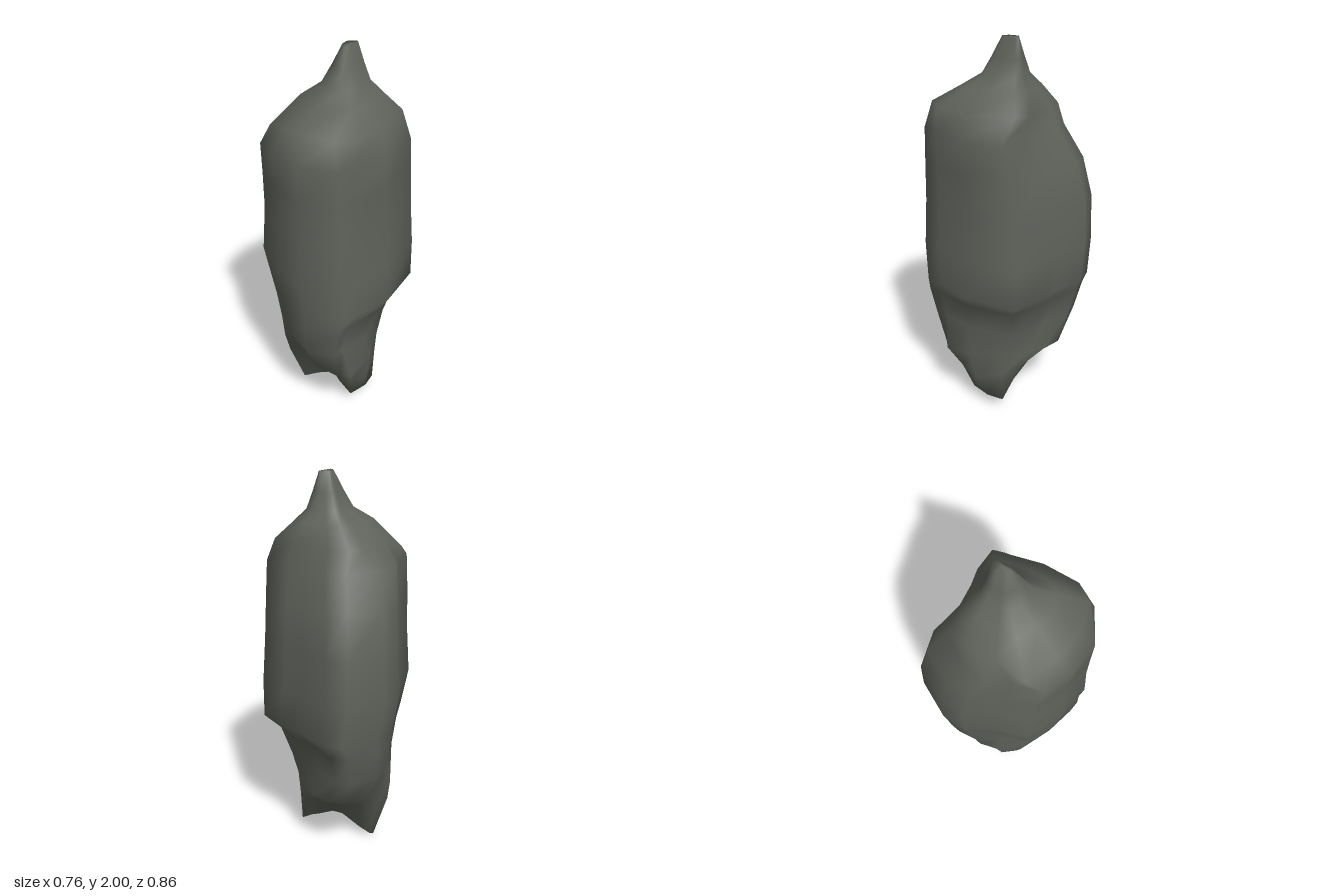
import * as THREE from 'three';

// Cross-sections run counterclockwise from the back as seen from above.
// Plan outline of the widest part: x, z
const belly = [
  [0, -0.43], [-0.19, -0.36], [-0.278, -0.265], [-0.31, -0.11], [-0.385, 0.05], [-0.315, 0.22], [-0.19, 0.38],
  [0.01, 0.43], [0.07, 0.365], [0.24, 0.235], [0.38, -0.01], [0.28, -0.15], [0.2, -0.23], [0.1, -0.38],
];
// Uneven rim of the shoulders: x, y, z
const rim = [
  [-0.03, 1.67, -0.235], [-0.1, 1.67, -0.2], [-0.15, 1.68, -0.15], [-0.22, 1.68, -0.08], [-0.32, 1.63, 0.03],
  [-0.25, 1.67, 0.18], [-0.19, 1.69, 0.27], [-0.03, 1.69, 0.365], [0.07, 1.685, 0.34], [0.19, 1.68, 0.21],
  [0.295, 1.69, 0], [0.22, 1.68, -0.08], [0.15, 1.68, -0.12], [0.06, 1.67, -0.19],
];
// Small slanting edge at the top: x, z
const tip = [
  [0.04, -0.04], [0.03, -0.03], [0.025, -0.02], [0.02, -0.01], [0.015, 0], [0.015, 0.015], [0.018, 0.03],
  [0.025, 0.035], [0.035, 0.03], [0.055, 0.01], [0.085, -0.02], [0.085, -0.035], [0.08, -0.04], [0.06, -0.04],
];
// Hem of the body, overhanging at the front: x, y, z
const hem = [
  [0, 0.37, -0.28], [-0.13, 0.36, -0.24], [-0.22, 0.36, -0.19], [-0.28, 0.36, -0.08], [-0.298, 0.37, 0.04],
  [-0.21, 0.47, 0.21], [-0.12, 0.38, 0.3], [0, 0.34, 0.345], [0.06, 0.34, 0.34], [0.16, 0.36, 0.22],
  [0.208, 0.38, 0.04], [0.18, 0.37, -0.08], [0.14, 0.37, -0.18], [0.08, 0.37, -0.26],
];
// Recess beneath the hem: x, y, z
const recess = [
  [0, 0.3, -0.17], [-0.1, 0.28, -0.17], [-0.2, 0.25, -0.14], [-0.27, 0.25, -0.07], [-0.275, 0.25, 0.02],
  [-0.2, 0.36, 0.12], [-0.1, 0.3, 0.16], [-0.01, 0.24, 0.22], [0.06, 0.22, 0.26], [0.15, 0.2, 0.19],
  [0.198, 0.25, 0.05], [0.16, 0.27, -0.05], [0.1, 0.3, -0.12], [0.05, 0.3, -0.16],
];
// Feet: a pointed one and a blunt one with a notch between: x, y, z
const foot = [
  [-0.03, 0.12, 0], [-0.12, 0.06, -0.05], [-0.18, 0.01, -0.05], [-0.2, 0, -0.04], [-0.2, 0.01, -0.02],
  [-0.13, 0.05, 0], [-0.03, 0.125, 0.07], [0, 0.115, 0.13], [0.065, 0.08, 0.2], [0.15, 0.08, 0.13],
  [0.19, 0.075, 0.05], [0.16, 0.09, 0.05], [0.1, 0.1, 0.04], [0.02, 0.12, 0.03],
];

const { lerp, inverseLerp } = THREE.MathUtils;

// Belly outline fitted to an x range and a z range
const fitted = ([y, x0, x1, z0, z1]) => belly.map(([x, z]) => [
  lerp(x0, x1, inverseLerp(-0.385, 0.38, x)), y, lerp(z0, z1, inverseLerp(-0.43, 0.43, z)),
]);

// Rim drawn in towards the tip
const narrowed = ([y, t]) => rim.map(([x, , z], j) => [lerp(x, tip[j][0], t), y, lerp(z, tip[j][1], t)]);

// Join the sections into one closed skin
function rockGeometry() {
  const rings = [
    foot, recess, hem,
    ...[
      [0.52, -0.308, 0.24, -0.355, 0.39],
      [0.68, -0.33, 0.295, -0.392, 0.42],
      [0.76, -0.347, 0.38, -0.41, 0.424],
      [0.96, -0.385, 0.378, -0.425, 0.43],
      [1.2, -0.367, 0.36, -0.415, 0.415],
      [1.4, -0.365, 0.348, -0.365, 0.41],
      [1.57, -0.363, 0.336, -0.265, 0.405],
    ].map(fitted),
    rim,
    ...[[1.77, 0.42], [1.83, 0.72], [1.91, 0.86], [2, 1]].map(narrowed),
  ];
  const n = belly.length, last = (rings.length - 1) * n, under = rings.length * n;
  const pos = rings.flat(2), index = [];
  for (let a = 0; a < last; a += n) {
    for (let j = 0; j < n; j++) {
      const k = (j + 1) % n, b = a + n;
      index.push(a + j, a + k, b + k, a + j, b + k, b + j);
    }
  }
  // Underside and flat tip
  pos.push(0, 0.13, 0.05, 0.05, 2, 0);
  for (let j = 0; j < n; j++) {
    const k = (j + 1) % n;
    index.push(under, k, j, under + 1, last + j, last + k);
  }
  const g = new THREE.BufferGeometry();
  g.setAttribute('position', new THREE.Float32BufferAttribute(pos, 3));
  g.setIndex(index);
  g.computeVertexNormals();
  return g;
}

export function createModel() {
  const group = new THREE.Group();
  group.name = 'standingRock';
  const stone = new THREE.MeshStandardMaterial({ color: 0x60645c });
  stone.name = 'dark grey stone';
  const rock = new THREE.Mesh(rockGeometry(), stone);
  rock.name = 'rock';
  group.add(rock);
  return group;
}
